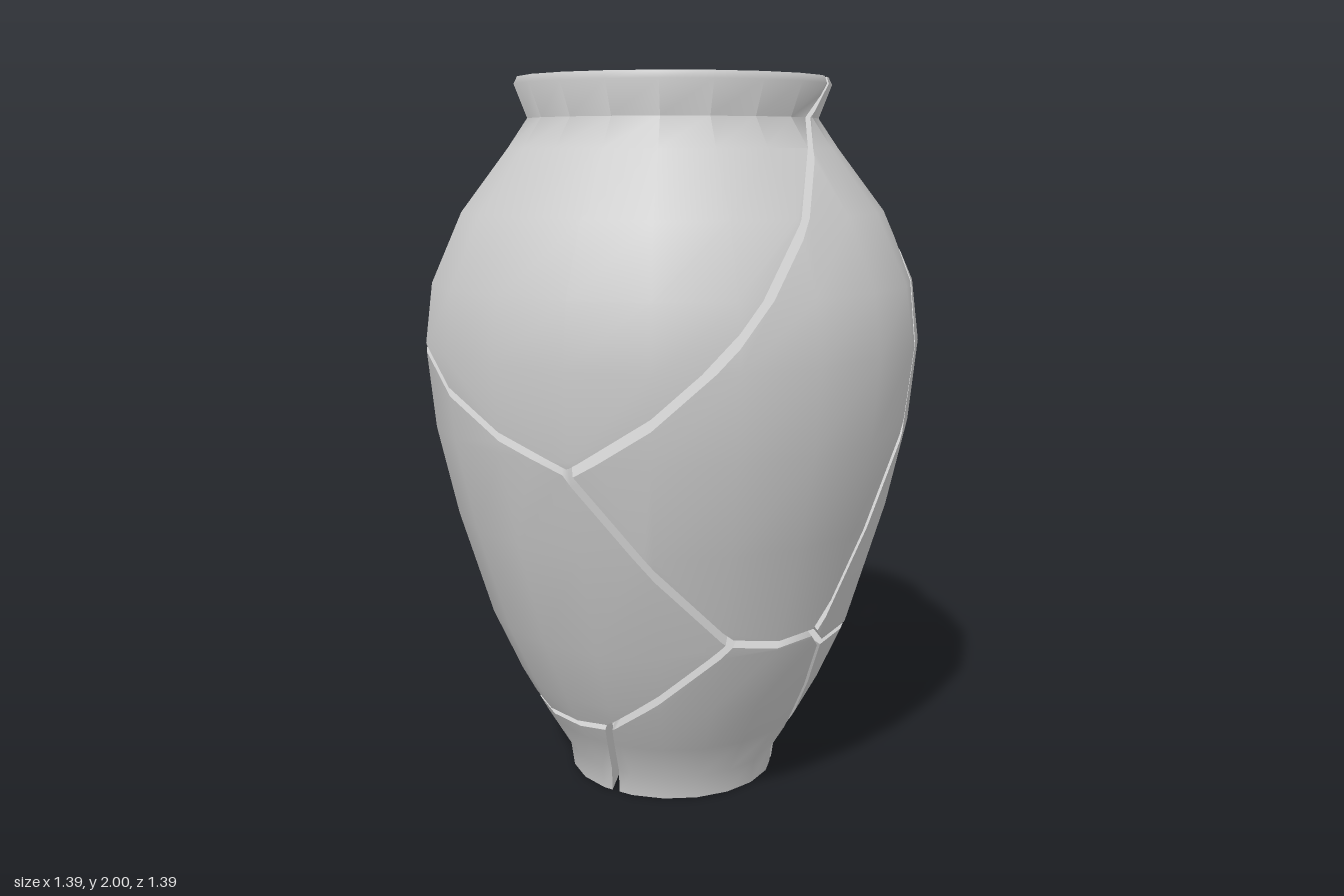
import * as THREE from 'three';
import { toCreasedNormals } from 'three/addons/utils/BufferGeometryUtils.js';

const SIDES = 20;
const GAP = 0.011; // half the width of a crack

// Wall profile, foot centre to lip: outer radius, outer y, inner radius, inner y
const PROFILE = [
  [0, 0, 0, 0.08], [0.3, 0, 0.24, 0.08], [0.31, 0.07, 0.26, 0.1], [0.375, 0.18, 0.3, 0.2],
  [0.45, 0.32, 0.37, 0.35], [0.53, 0.5, 0.45, 0.52], [0.62, 0.8, 0.54, 0.8],
  [0.675, 1.05, 0.595, 1.05], [0.697, 1.28, 0.617, 1.28], [0.675, 1.45, 0.595, 1.43],
  [0.59, 1.64, 0.515, 1.6], [0.46, 1.81, 0.39, 1.76], [0.405, 1.89, 0.335, 1.88],
  [0.44, 1.98, 0.335, 1.95], [0.43, 2, 0.37, 1.985],
];

const v = (x, y, z) => new THREE.Vector3(x, y, z);

// Points where cracks meet on the wall, on the rim and under the foot
const frontMid = v(-0.02, 1.03, 0.65), leftMid = v(-0.67, 1.38, 0.13);
const frontLow = v(0.34, 0.54, 0.42), rightLow = v(0.51, 0.51, 0.2), rightLow2 = v(0.5, 0.47, 0.14);
const backMid = v(0.2, 0.8, -0.6), backLow = v(-0.38, 0.52, -0.38), leftLow = v(-0.54, 0.62, -0.19);
const footFront = v(-0.02, 0.24, 0.42), footLeft = v(-0.36, 0.24, 0.2), neckBack = v(0.24, 1.87, -0.35);
const rimLeft = v(-0.42, 2, -0.18), rimRight = v(0.44, 2, -0.06), rimBack = v(0.22, 2, -0.38);
const baseRight = v(0.3, 0, -0.08), baseBack = v(-0.1, 0, -0.28);
const baseFront = v(-0.05, 0, 0.31), baseLeft = v(-0.27, 0, 0.15);
const floorBack = v(0.07, 0, -0.1), floorFront = v(-0.09, 0, 0.15);
const mouth = v(0.07, 2, -0.26), core = v(0, 0.95, 0);

// Each crack: the two shards it parts, its two ends, and a third point of its plane
const CRACKS = [
  ['frontUpperShard', 'rightUpperShard', frontMid, rimRight, mouth],
  ['frontUpperShard', 'backUpperShard', leftMid, rimLeft, mouth],
  ['rightUpperShard', 'backUpperShard', neckBack, rimBack, mouth],
  ['frontUpperShard', 'frontLowerShard', frontMid, leftMid, v(-0.38, 1.17, 0.575)],
  ['rightUpperShard', 'frontLowerShard', frontMid, frontLow, core],
  ['rightUpperShard', 'baseFrontShard', frontLow, rightLow, core],
  ['rightUpperShard', 'rightBackShard', rightLow, neckBack, v(0.69, 1.32, -0.1)],
  ['rightBackShard', 'backUpperShard', backMid, neckBack, v(0.29, 1.4, -0.63)],
  ['rightBackShard', 'baseFrontShard', rightLow, rightLow2, core],
  ['rightBackShard', 'baseBackShard', rightLow2, backMid, v(0.5, 0.54, -0.23)],
  ['backUpperShard', 'baseBackShard', backMid, backLow, v(-0.114, 0.59, -0.552)],
  ['backUpperShard', 'baseLeftShard', backLow, leftLow, core],
  ['backUpperShard', 'frontLowerShard', leftLow, leftMid, v(0, 1.9, 0)],
  ['frontLowerShard', 'baseLeftShard', leftLow, footLeft, v(-0.47, 0.38, 0.09)],
  ['frontLowerShard', 'footShard', footFront, footLeft, v(0, 0.35, 0)],
  ['frontLowerShard', 'baseFrontShard', frontLow, footFront, v(0.2, 0.41, 0.45)],
  ['baseFrontShard', 'baseBackShard', rightLow2, baseRight, floorBack],
  ['baseBackShard', 'baseLeftShard', backLow, baseBack, floorBack],
  ['baseFrontShard', 'baseLeftShard', floorBack, floorFront, v(0.07, 1, -0.1)],
  ['baseFrontShard', 'footShard', footFront, baseFront, floorFront],
  ['baseLeftShard', 'footShard', footLeft, baseLeft, floorFront],
];

// The wall as convex blocks; each face is { pts, show }
function wallBlocks() {
  const at = (r, y, k) => {
    const a = (k / SIDES) * Math.PI * 2;
    return v(r * Math.sin(a), y, r * Math.cos(a));
  };
  const blocks = [];
  for (let j = 0; j < PROFILE.length - 1; j++) {
    for (let k = 0; k < SIDES; k++) {
      const corner = (row, kk) => {
        const [ro, yo, ri, yi] = PROFILE[row];
        return [at(ro, yo, kk), at(ri, yi, kk)];
      };
      const [oA, iA] = corner(j, k), [oB, iB] = corner(j, k + 1);
      const [oC, iC] = corner(j + 1, k + 1), [oD, iD] = corner(j + 1, k);
      blocks.push([
        { pts: [oA, oB, oC, oD], show: true },
        { pts: [iD, iC, iB, iA], show: true },
        { pts: [oD, oC, iC, iD], show: j === PROFILE.length - 2 },
        { pts: [oA, iA, iB, oB], show: false },
        { pts: [oA, oD, iD, iA], show: false },
        { pts: [oB, iB, iC, oC], show: false },
      ]);
    }
  }
  return blocks;
}

// Cuts a convex block, keeps the part in front of the plane and caps the cut
function clipBlock(faces, plane) {
  const kept = [], cut = [];
  for (const { pts, show } of faces) {
    const out = [];
    pts.forEach((p, i) => {
      const q = pts[(i + 1) % pts.length];
      const dp = plane.distanceToPoint(p), dq = plane.distanceToPoint(q);
      if (dp >= 0) out.push(p);
      if ((dp >= 0) !== (dq >= 0)) {
        const c = p.clone().lerp(q, dp / (dp - dq));
        out.push(c);
        cut.push(c);
      }
    });
    if (out.length > 2) kept.push({ pts: out, show });
  }
  if (cut.length > 2) {
    const mid = cut.reduce((s, p) => s.add(p), v(0, 0, 0)).divideScalar(cut.length);
    const n = plane.normal.clone().negate();
    const u = (Math.abs(n.y) < 0.9 ? v(0, 1, 0) : v(1, 0, 0)).cross(n).normalize();
    const w = n.clone().cross(u);
    const angle = (p) => {
      const d = p.clone().sub(mid);
      return Math.atan2(d.dot(w), d.dot(u));
    };
    cut.sort((a, b) => angle(a) - angle(b));
    const ring = cut.filter((p, i) => i === 0 || p.distanceTo(cut[i - 1]) > 1e-7);
    if (ring.length > 2) kept.push({ pts: ring, show: true });
  }
  return kept;
}

// Planes round one shard, facing its middle and set back by the gap
function shardPlanes(name) {
  const mine = CRACKS.filter((c) => c[0] === name || c[1] === name);
  const mid = v(0, 0, 0);
  mine.forEach((c) => mid.add(c[2]).add(c[3]));
  mid.divideScalar(mine.length * 2);
  return mine.map(([, , p, q, r]) => {
    const plane = new THREE.Plane().setFromCoplanarPoints(p, q, r);
    if (plane.distanceToPoint(mid) < 0) plane.negate();
    plane.constant -= GAP;
    return plane;
  });
}

function shardGeometry(blocks, planes) {
  const pos = [];
  const tri = new THREE.Triangle();
  for (const block of blocks) {
    let faces = block;
    for (const plane of planes) {
      faces = clipBlock(faces, plane);
      if (!faces.length) break;
    }
    for (const { pts, show } of faces) {
      if (!show) continue;
      for (let i = 1; i < pts.length - 1; i++) {
        tri.set(pts[0], pts[i], pts[i + 1]);
        if (tri.getArea() < 1e-9) continue;
        for (const p of [pts[0], pts[i], pts[i + 1]]) pos.push(p.x, p.y, p.z);
      }
    }
  }
  const geo = new THREE.BufferGeometry();
  geo.setAttribute('position', new THREE.Float32BufferAttribute(pos, 3));
  return toCreasedNormals(geo, 1.0);
}

export function createModel() {
  const group = new THREE.Group();
  group.name = 'crackedVase';
  const clay = new THREE.MeshStandardMaterial({ color: 0xcccccc });
  const blocks = wallBlocks();
  const names = new Set(CRACKS.flatMap((c) => [c[0], c[1]]));
  for (const name of names) {
    const mesh = new THREE.Mesh(shardGeometry(blocks, shardPlanes(name)), clay);
    mesh.name = name;
    group.add(mesh);
  }
  return group;
}
